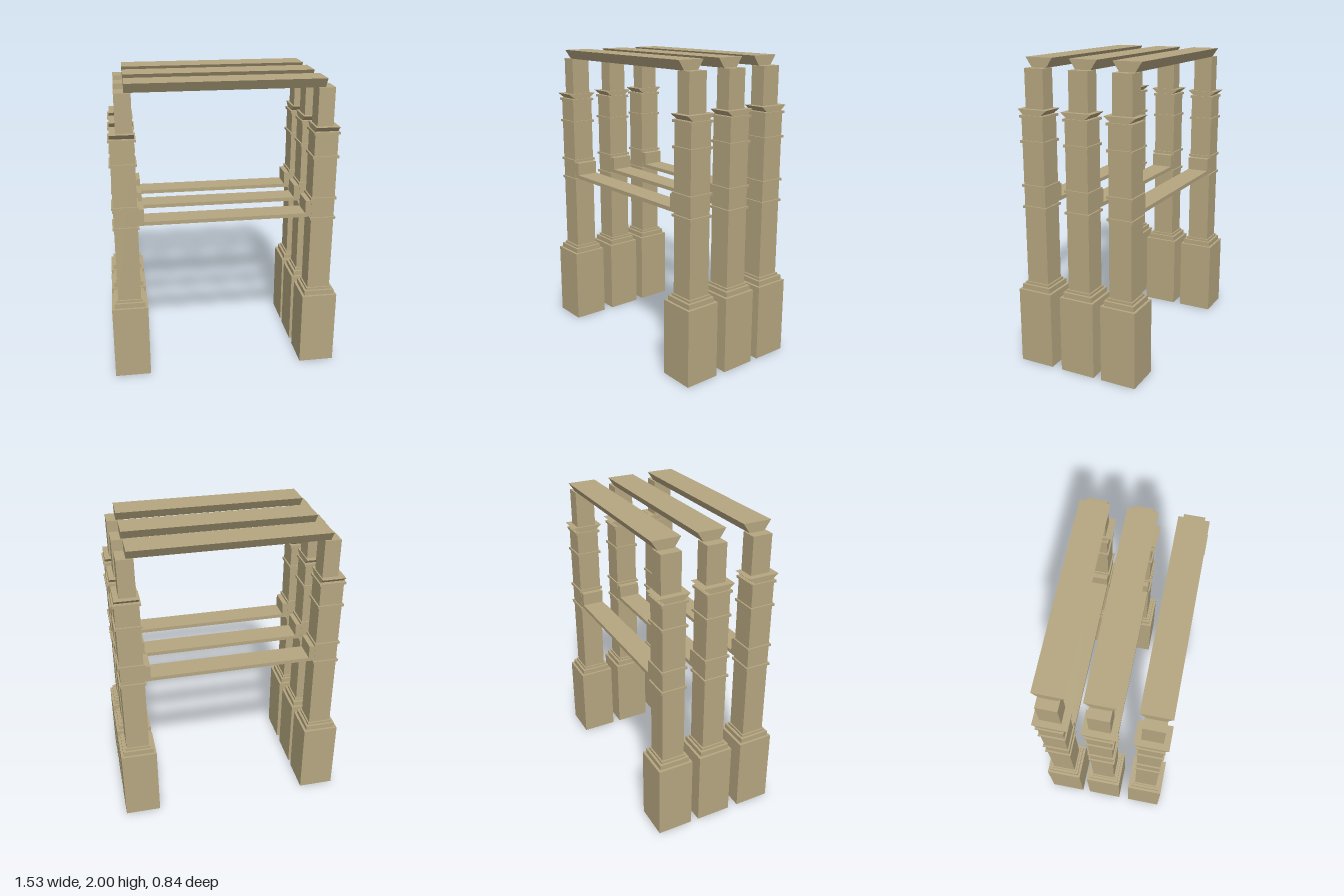
import * as THREE from 'three';

const stone = new THREE.MeshStandardMaterial({ color: 0xb5a680 });
stone.name = 'sandstone';

function add(parent, name, geometry, x, y, z) {
  const mesh = new THREE.Mesh(geometry, stone);
  mesh.name = name;
  mesh.position.set(x, y, z);
  parent.add(mesh);
}

// Box given by its width, depth and the heights of its bottom and top
function block(parent, name, w, d, y0, y1, x = 0) {
  add(parent, name, new THREE.BoxGeometry(w, y1 - y0, d), x, (y0 + y1) / 2, 0);
}

// Block along x whose front and back slope inwards towards the bottom
function taperedBlock(parent, name, w, topD, bottomD, y0, y1, x = 0) {
  const geometry = new THREE.BoxGeometry(w, y1 - y0, topD);
  const p = geometry.attributes.position;
  for (let i = 0; i < p.count; i++) {
    if (p.getY(i) < 0) p.setZ(i, Math.sign(p.getZ(i)) * bottomD / 2);
  }
  geometry.computeVertexNormals();
  add(parent, name, geometry, x, (y0 + y1) / 2, 0);
}

function createColumn(side) {
  const column = new THREE.Group();
  column.name = side > 0 ? 'leftColumn' : 'rightColumn';
  column.position.x = side * 0.646;
  block(column, 'pedestal', 0.239, 0.239, 0, 0.512);
  block(column, 'pedestalStep', 0.205, 0.205, 0.512, 0.545);
  block(column, 'shaft', 0.153, 0.153, 0.545, 1.657);
  // Thin mouldings around the shaft
  for (const y of [0.553, 1.07, 1.209, 1.491, 1.648]) {
    block(column, 'moulding', 0.173, 0.173, y - 0.008, y + 0.008);
  }
  taperedBlock(column, 'capital', 0.153, 0.21, 0.12, 1.656, 1.692);
  block(column, 'upperPost', 0.105, 0.132, 1.692, 1.938, -side * 0.013 + 0.003);
  // Bracket holding the crossbar
  block(column, 'bracket', 0.045, 0.15, 1.085, 1.197, -side * 0.095);
  return column;
}

export function createModel() {
  const model = new THREE.Group();
  model.name = 'archway';
  // Three identical frames, one behind the other
  for (const z of [0.302, -0.008, -0.302]) {
    const frame = new THREE.Group();
    frame.name = 'frame';
    frame.position.z = z;
    for (const side of [-1, 1]) frame.add(createColumn(side));
    block(frame, 'crossbar', 1.08, 0.15, 1.085, 1.11);
    taperedBlock(frame, 'topBeam', 1.248, 0.19, 0.106, 1.938, 2, 0.004);
    model.add(frame);
  }
  return model;
}
